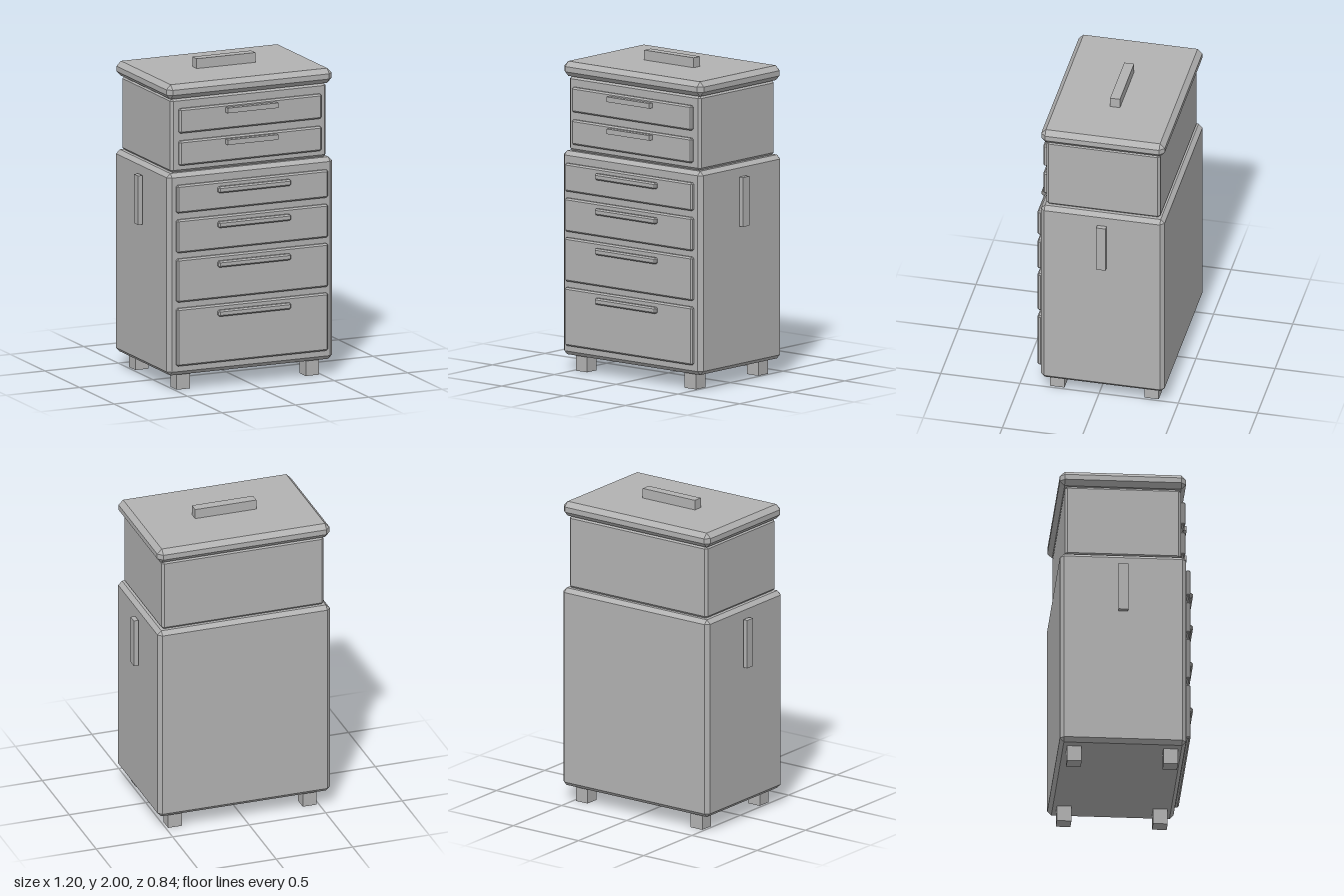
import * as THREE from 'three';
import { ConvexGeometry } from 'three/addons/geometries/ConvexGeometry.js';

const grey = new THREE.MeshStandardMaterial({ color: 0xb2b2b2 });
grey.name = 'grey metal';

// Box with flat chamfers of size c on every edge
function chamferBox(w, h, d, c) {
  const points = [];
  for (const sx of [-1, 1]) for (const sy of [-1, 1]) for (const sz of [-1, 1]) {
    for (let full = 0; full < 3; full++) {
      const inset = [c, c, c];
      inset[full] = 0;
      points.push(new THREE.Vector3(
        sx * (w / 2 - inset[0]), sy * (h / 2 - inset[1]), sz * (d / 2 - inset[2])));
    }
  }
  return new ConvexGeometry(points);
}

// Adds a box given by its extents; c = 0 leaves the edges sharp
function addBox(parent, name, [x0, x1], [y0, y1], [z0, z1], c = 0) {
  const size = [x1 - x0, y1 - y0, z1 - z0];
  const geometry = c > 0 ? chamferBox(...size, c) : new THREE.BoxGeometry(...size);
  const mesh = new THREE.Mesh(geometry, grey);
  mesh.name = name;
  mesh.position.set((x0 + x1) / 2, (y0 + y1) / 2, (z0 + z1) / 2);
  parent.add(mesh);
}

export function createModel() {
  const model = new THREE.Group();
  model.name = 'toolCabinet';

  // Stacked cabinets and lid
  addBox(model, 'lowerCabinet', [-0.563, 0.563], [0.1, 1.378], [-0.422, 0.358], 0.025);
  addBox(model, 'upperCabinet', [-0.53, 0.53], [1.378, 1.845], [-0.39, 0.328], 0.015);
  addBox(model, 'lid', [-0.563, 0.563], [1.845, 1.938], [-0.422, 0.358], 0.03);
  addBox(model, 'lidHandle', [-0.2, 0.2], [1.938, 2], [-0.065, -0.003]);

  // Feet and side handles
  for (const [side, s] of [['right', -1], ['left', 1]]) {
    const xs = (a, b) => (s > 0 ? [a, b] : [-b, -a]);
    addBox(model, side + 'FrontFoot', xs(0.395, 0.485), [0, 0.1], [0.222, 0.312]);
    addBox(model, side + 'BackFoot', xs(0.395, 0.485), [0, 0.1], [-0.373, -0.283]);
    addBox(model, side + 'SideHandle', xs(0.57, 0.6), [0.988, 1.298], [-0.063, -0.003]);
  }

  // Lower drawers: bottom, top, handle centre
  const lower = [
    [1.132, 1.308, 1.26], [0.88, 1.09, 1.04], [0.568, 0.842, 0.79], [0.164, 0.529, 0.479],
  ];
  lower.forEach(([y0, y1, hy], i) => {
    const drawer = new THREE.Group();
    drawer.name = 'lowerDrawer' + (i + 1);
    addBox(drawer, 'drawerFront', [-0.515, 0.515], [y0, y1], [0.356, 0.388], 0.01);
    addBox(drawer, 'drawerHandle', [-0.247, 0.247], [hy - 0.02, hy + 0.02], [0.388, 0.421], 0.009);
    model.add(drawer);
  });

  // Upper drawers with plain bar handles
  [[1.628, 1.784, 1.75], [1.424, 1.58, 1.549]].forEach(([y0, y1, hy], i) => {
    const drawer = new THREE.Group();
    drawer.name = 'upperDrawer' + (i + 1);
    addBox(drawer, 'drawerFront', [-0.485, 0.485], [y0, y1], [0.326, 0.358], 0.01);
    addBox(drawer, 'drawerHandle', [-0.172, 0.172], [hy - 0.016, hy + 0.016], [0.358, 0.388]);
    model.add(drawer);
  });

  return model;
}
